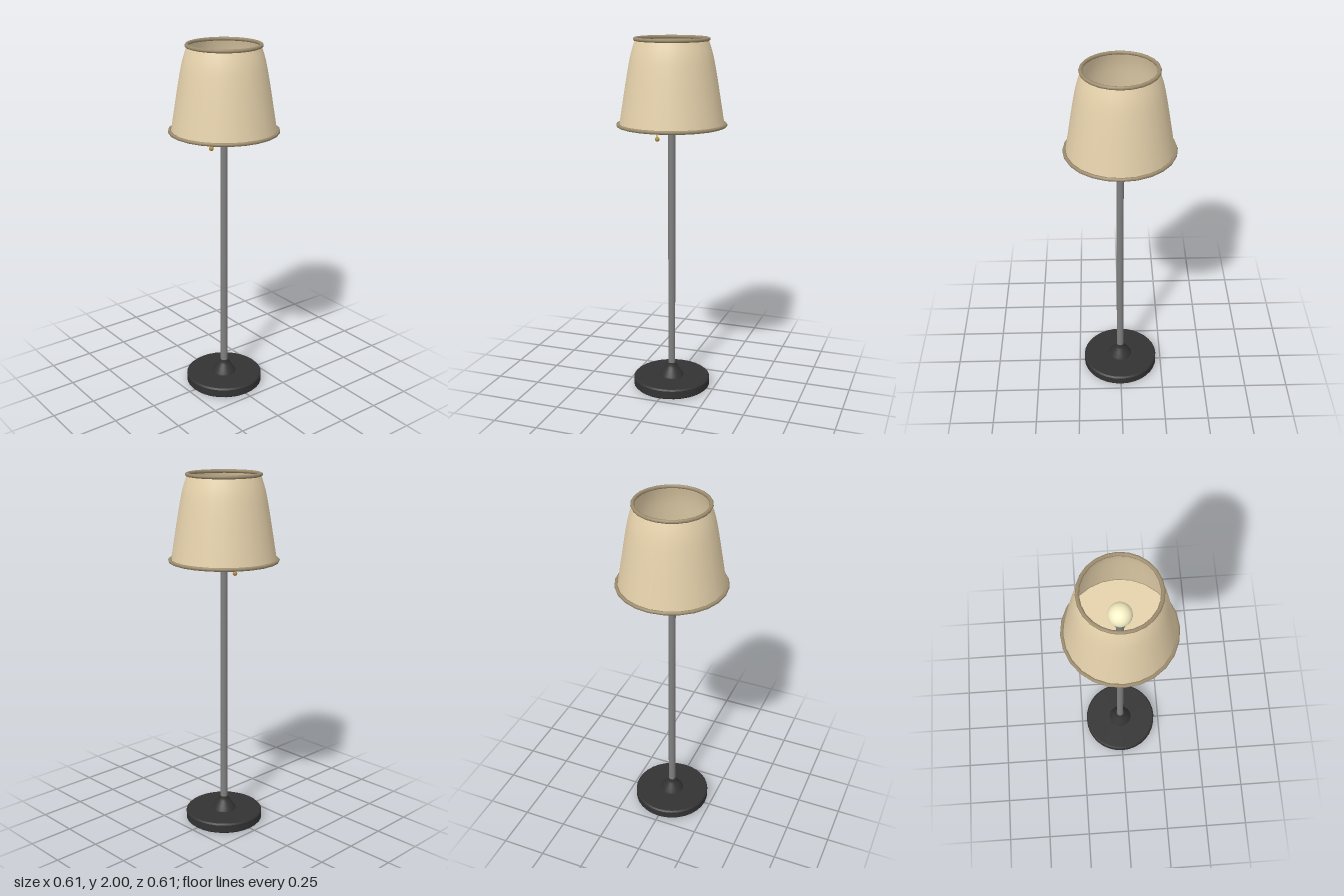
import * as THREE from 'three';

const SIDES = 24;

function material(color, side = THREE.FrontSide) {
  return new THREE.MeshStandardMaterial({ color, side });
}

export function createModel() {
  const lamp = new THREE.Group();
  lamp.name = 'floorLamp';

  const black = material(0x333333);
  const steel = material(0x808080);
  const fabric = material(0xe6d2ac, THREE.DoubleSide);
  const trim = material(0x9c8c6e);
  const brass = material(0xb08d3c);
  const glass = material(0xf7efc4);

  function add(name, geometry, mat, x = 0, y = 0, z = 0) {
    const mesh = new THREE.Mesh(geometry, mat);
    mesh.name = name;
    mesh.position.set(x, y, z);
    lamp.add(mesh);
    return mesh;
  }
  const profile = (pairs) => pairs.map(([r, y]) => new THREE.Vector2(r, y));

  // Weighted foot: bevelled disc, with doubled points to keep its edges crisp
  const foot = [
    [0, 0], [0.212, 0], [0.212, 0], [0.22, 0.008], [0.22, 0.008],
    [0.22, 0.05], [0.22, 0.05], [0.212, 0.058], [0.212, 0.058], [0, 0.058],
  ];
  add('base', new THREE.LatheGeometry(profile(foot), 32), black);

  // Flared collar joining the foot to the pole
  const collar = [
    [0.07, 0.056], [0.066, 0.066], [0.05, 0.09], [0.035, 0.112],
    [0.029, 0.122], [0.028, 0.135], [0.028, 0.135], [0, 0.135],
  ];
  add('collar', new THREE.LatheGeometry(profile(collar), SIDES), black);

  // Pole up to the bulb
  add('pole', new THREE.CylinderGeometry(0.02, 0.02, 1.58, 16), steel, 0, 0.88);
  add('socket', new THREE.CylinderGeometry(0.03, 0.03, 0.07, 16), steel, 0, 1.66);
  add('bulb', new THREE.SphereGeometry(0.062, 24, 16), glass, 0, 1.74);

  // Gently bowed shade, open above and closed by a diffuser below
  const bow = new THREE.SplineCurve(profile([
    [0.287, 1.533], [0.268, 1.65], [0.243, 1.8], [0.221, 1.91], [0.195, 1.99],
  ]));
  add('shade', new THREE.LatheGeometry(bow.getPoints(12), SIDES), fabric);
  add('diffuser', new THREE.CircleGeometry(0.287, SIDES), fabric, 0, 1.535)
    .rotation.x = -Math.PI / 2;

  // Rolled trim on both rims
  [['lowerTrim', 0.293, 1.533], ['upperTrim', 0.197, 1.99]].forEach(([name, r, y]) => {
    add(name, new THREE.TorusGeometry(r, 0.01, 8, SIDES), trim, 0, y)
      .rotation.x = Math.PI / 2;
  });

  // Pull chain and its knob
  add('pullChain', new THREE.CylinderGeometry(0.003, 0.003, 0.1, 8), brass, -0.085, 1.49);
  add('pullKnob', new THREE.SphereGeometry(0.013, 12, 8), brass, -0.085, 1.445);

  return lamp;
}
